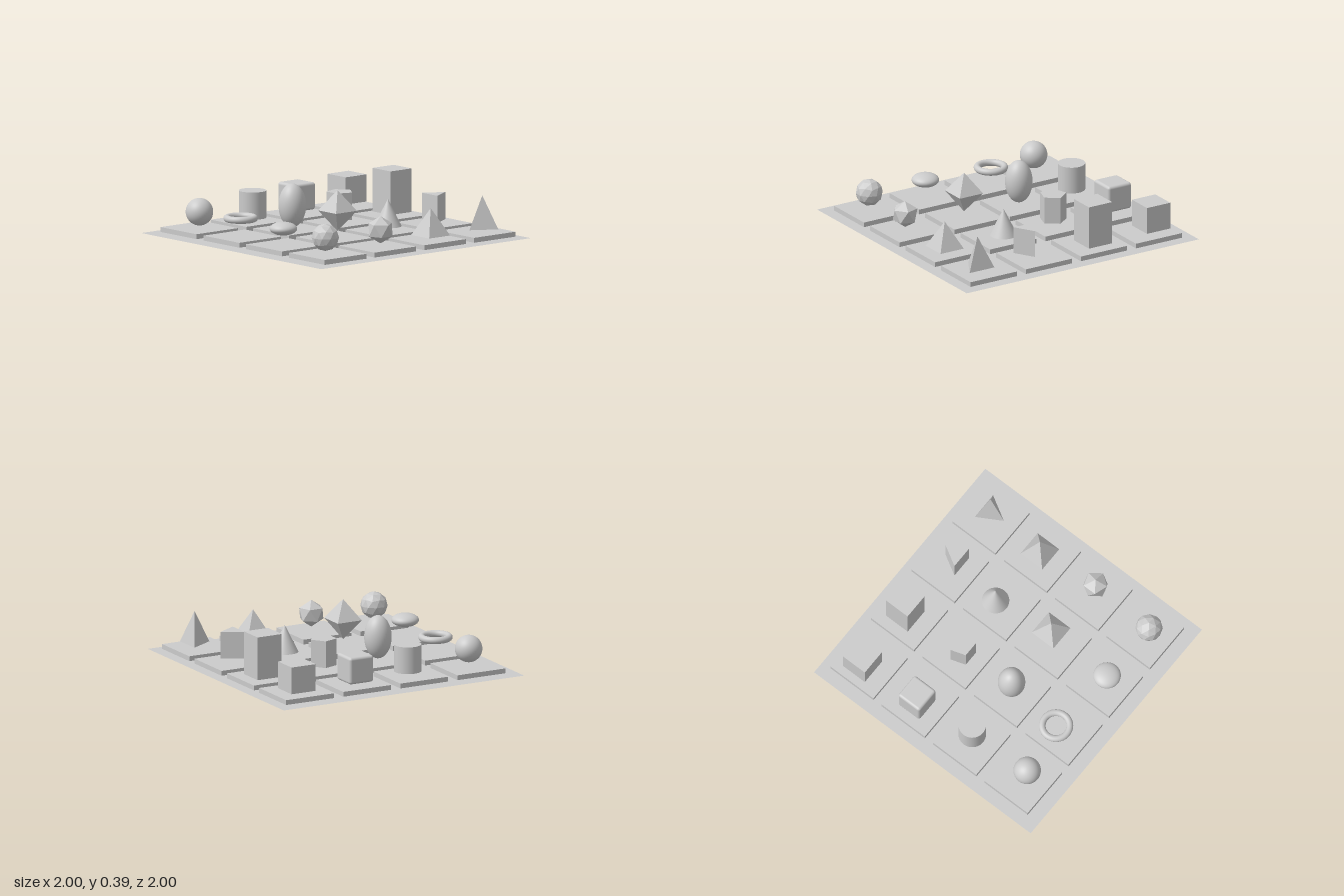
import * as THREE from 'three';
import { RoundedBoxGeometry } from 'three/addons/geometries/RoundedBoxGeometry.js';

const smooth = new THREE.MeshStandardMaterial({ color: 0xcccccc });
const flat = new THREE.MeshStandardMaterial({ color: 0xcccccc, flatShading: true });
const sheet = new THREE.MeshStandardMaterial({ color: 0xcccccc, side: THREE.DoubleSide });

const MID = 0.167; // height of most solids' centres
const R = 0.1; // common radius

// Icosahedron standing on a vertex, with an upper ring vertex towards +x
function polarIcosahedron(radius, detail) {
  const golden = (1 + Math.sqrt(5)) / 2;
  return new THREE.IcosahedronGeometry(radius, detail)
    .rotateZ(Math.atan(1 / golden))
    .rotateY(Math.PI);
}

// Upright prism with one corner towards the back
const prism = (sides) => new THREE.CylinderGeometry(R, R, 0.2, sides).rotateY(Math.PI);

const ball = () => new THREE.SphereGeometry(R, 40, 28);

export function createModel() {
  const model = new THREE.Group();
  model.name = 'solidsDisplay';

  const add = (name, geometry, material, x, y, z) => {
    const mesh = new THREE.Mesh(geometry, material);
    mesh.name = name;
    mesh.position.set(x, y, z);
    model.add(mesh);
  };

  // Ground sheet
  add('groundSheet', new THREE.PlaneGeometry(2, 2).rotateX(-Math.PI / 2), sheet, 0, 0, 0);

  // Four by four grid of tiles
  const tiles = new THREE.Group();
  tiles.name = 'tiles';
  const tileGeometry = new THREE.BoxGeometry(0.398, 0.036, 0.398);
  for (let row = 0; row < 4; row++) {
    for (let col = 0; col < 4; col++) {
      const tile = new THREE.Mesh(tileGeometry, flat);
      tile.name = 'tile';
      tile.position.set(-0.705 + col * 0.475, 0.027, -0.727 + row * 0.475);
      tiles.add(tile);
    }
  }
  model.add(tiles);

  // Back row
  add('cube', new THREE.BoxGeometry(0.2, 0.2, 0.2), flat, -0.75, MID, -0.75);
  add('tallBox', new THREE.BoxGeometry(0.2, 0.32, 0.2), flat, -0.25, 0.217, -0.75);
  add('triangularPrism', prism(3), flat, 0.283, MID, -0.7);
  add('tetrahedron', new THREE.ConeGeometry(0.123, 0.243, 3), flat, 0.749, 0.188, -0.753);

  // Second row
  add('roundedCube', new RoundedBoxGeometry(0.2, 0.2, 0.2, 4, 0.02), smooth, -0.737, MID, -0.257);
  add('pentagonalPrism', prism(5), flat, -0.233, MID, -0.24);
  add('cone', new THREE.ConeGeometry(R, 0.2, 40, 6), smooth, 0.23, MID, -0.297);
  add('squarePyramid', new THREE.ConeGeometry(R * Math.SQRT2, 0.2, 4).rotateY(Math.PI / 4),
    flat, 0.726, MID, -0.28);

  // Third row
  add('cylinder', new THREE.CylinderGeometry(R, R, 0.2, 40), smooth, -0.683, MID, 0.21);
  add('tallEllipsoid', ball().scale(1, 1.6, 1), smooth, -0.233, 0.217, 0.217);
  add('octahedron',
    new THREE.OctahedronGeometry(1).rotateY(Math.PI / 4).scale(R * Math.SQRT2, 0.15, R * Math.SQRT2),
    flat, 0.25, 0.24, 0.2);
  add('icosahedron', polarIcosahedron(R, 0), flat, 0.747, MID, 0.217);

  // Front row
  add('sphere', ball(), smooth, -0.683, MID, 0.717);
  add('torus', new THREE.TorusGeometry(R, 0.025, 20, 48).rotateX(Math.PI / 2), smooth, -0.283, MID, 0.667);
  add('flatEllipsoid', ball().scale(1, 0.48, 1), smooth, 0.25, MID, 0.717);
  add('facetedSphere', polarIcosahedron(R, 1), flat, 0.727, MID, 0.727);

  return model;
}
